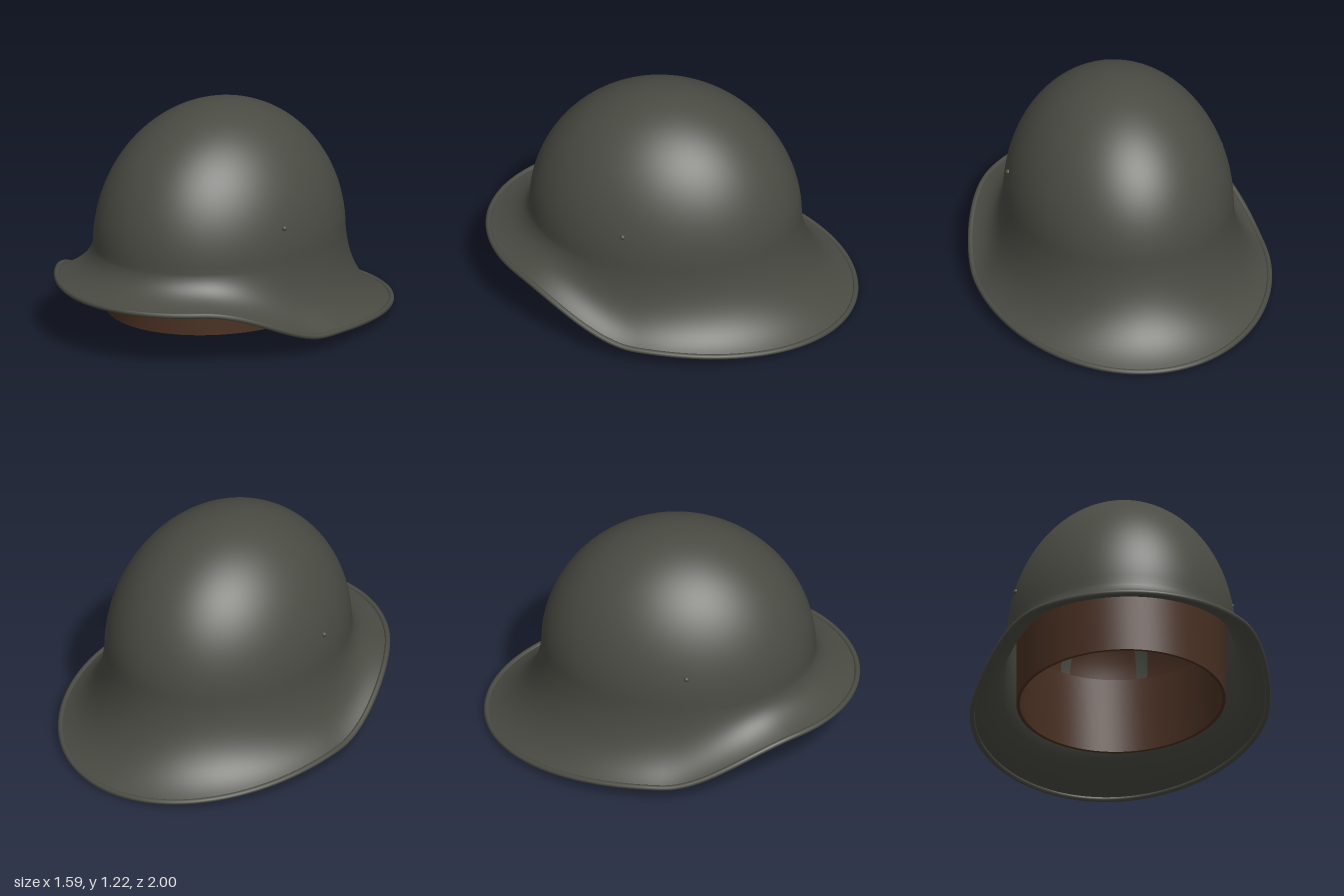
import * as THREE from 'three';
import { toCreasedNormals } from 'three/addons/utils/BufferGeometryUtils.js';

const DOME = { x: 0.605, z: 0.73, cz: 0.035, y: 0.48, h: 0.745 };
const RIM = { x: 0.78, z: 0.985, r: 0.015 };

// Height of the brim edge: raised at the front, sweeping low to the back
function rimHeight(z) {
  const back = 0.097 - 0.08 * Math.pow(Math.max(0, -z), 1.4);
  return back + 0.22 * THREE.MathUtils.smoothstep(z, 0, 0.72);
}

function rimPoint(a) {
  const z = RIM.z * Math.sin(a);
  return new THREE.Vector3(RIM.x * Math.cos(a), rimHeight(z), z);
}

// Surface from a rule point(row, angle); angles run once around or over a span
function loft(rows, cols, point, from = 0, to = Math.PI * 2) {
  const closed = to - from > 6.28;
  const stride = closed ? cols : cols + 1;
  const pos = [], index = [];
  for (let i = 0; i <= rows; i++)
    for (let j = 0; j < stride; j++)
      pos.push(...point(i, from + (to - from) * j / cols).toArray());
  for (let i = 0; i < rows; i++)
    for (let j = 0; j < cols; j++) {
      const k = (j + 1) % stride;
      const a = i * stride + j, b = i * stride + k;
      index.push(a, b, a + stride, b, b + stride, a + stride);
    }
  const g = new THREE.BufferGeometry();
  g.setAttribute('position', new THREE.Float32BufferAttribute(pos, 3));
  g.setIndex(index);
  g.computeVertexNormals();
  return g;
}

// Dome quarter-ellipse followed by a concave flare out to the brim edge
const DOME_ROWS = 28, FLARE_ROWS = 14, SIDE_ROWS = DOME_ROWS + FLARE_ROWS;
function shellPoint(i, a, inset) {
  const dx = DOME.x - inset, dz = DOME.z - inset;
  if (i <= DOME_ROWS) {
    const p = Math.max(0.002, (i / DOME_ROWS) * Math.PI / 2);
    return new THREE.Vector3(
      dx * Math.sin(p) * Math.cos(a),
      DOME.y + (DOME.h - inset) * Math.cos(p),
      DOME.cz + dz * Math.sin(p) * Math.sin(a));
  }
  const t = (i - DOME_ROWS) / FLARE_ROWS, s = 1 - t;
  const start = new THREE.Vector3(dx * Math.cos(a), DOME.y, DOME.cz + dz * Math.sin(a));
  const end = rimPoint(a);
  const bend = start.clone().lerp(end, 0.1);
  bend.y = end.y + 0.25 * (start.y - end.y) - inset * 0.5;
  return start.multiplyScalar(s * s).addScaledVector(bend, 2 * s * t).addScaledVector(end, t * t);
}

export function createModel() {
  const model = new THREE.Group();
  model.name = 'helmet';
  const steel = new THREE.MeshStandardMaterial({ color: 0x4a4b43 });
  steel.name = 'greyGreenSteel';
  const leather = new THREE.MeshStandardMaterial({ color: 0x4a3022, side: THREE.DoubleSide });
  leather.name = 'brownLeather';

  const add = (parent, name, geometry, material) => {
    const mesh = new THREE.Mesh(geometry, material);
    mesh.name = name;
    parent.add(mesh);
    return mesh;
  };

  // Steel shell: down the outside, back up the inside
  add(model, 'shell', loft(SIDE_ROWS * 2 + 1, 96, (i, a) =>
    i <= SIDE_ROWS ? shellPoint(i, a, 0) : shellPoint(SIDE_ROWS * 2 + 1 - i, a, 0.02)), steel);

  // Rolled edge around the brim
  const edge = [];
  for (let j = 0; j < 96; j++) edge.push(rimPoint(j / 96 * Math.PI * 2));
  add(model, 'rolledEdge', new THREE.TubeGeometry(
    new THREE.CatmullRomCurve3(edge, true), 192, RIM.r, 10, true), steel);

  // Liner rivets on both sides
  for (const side of [1, -1]) {
    const rivet = add(model, side > 0 ? 'leftRivet' : 'rightRivet',
      new THREE.SphereGeometry(0.014, 14, 10), steel);
    rivet.position.set(side * 0.58, 0.675, 0.128);
  }

  // Leather headband with a closed rectangular section
  const liner = new THREE.Group();
  liner.name = 'liner';
  model.add(liner);
  const section = [[0, 0.54], [0, 0.12], [0.018, 0.12], [0.018, 0.54], [0, 0.54]];
  const band = loft(4, 72, (i, a) => new THREE.Vector3(
    (0.553 - section[i][0]) * Math.cos(a), section[i][1],
    DOME.cz + (0.657 - section[i][0]) * Math.sin(a)));
  add(liner, 'headband', toCreasedNormals(band, 0.6), leather);

  // Tapered leather fingers curving up from the band towards the crown
  const count = 8, step = Math.PI * 2 / count;
  for (let n = 0; n < count; n++) {
    const middle = n * step;
    const finger = loft(10, 10, (i, a) => {
      const t = 1 - i / 10, p = t * 1.15;
      const spread = middle + (a - middle) * (1 - 0.2 * t);
      return new THREE.Vector3(
        0.54 * Math.cos(p) * Math.cos(spread),
        0.5 + 0.58 * Math.sin(p),
        DOME.cz + 0.642 * Math.cos(p) * Math.sin(spread));
    }, middle - step * 0.44, middle + step * 0.44);
    add(liner, 'linerFinger' + (n + 1), finger, leather);
  }
  return model;
}
